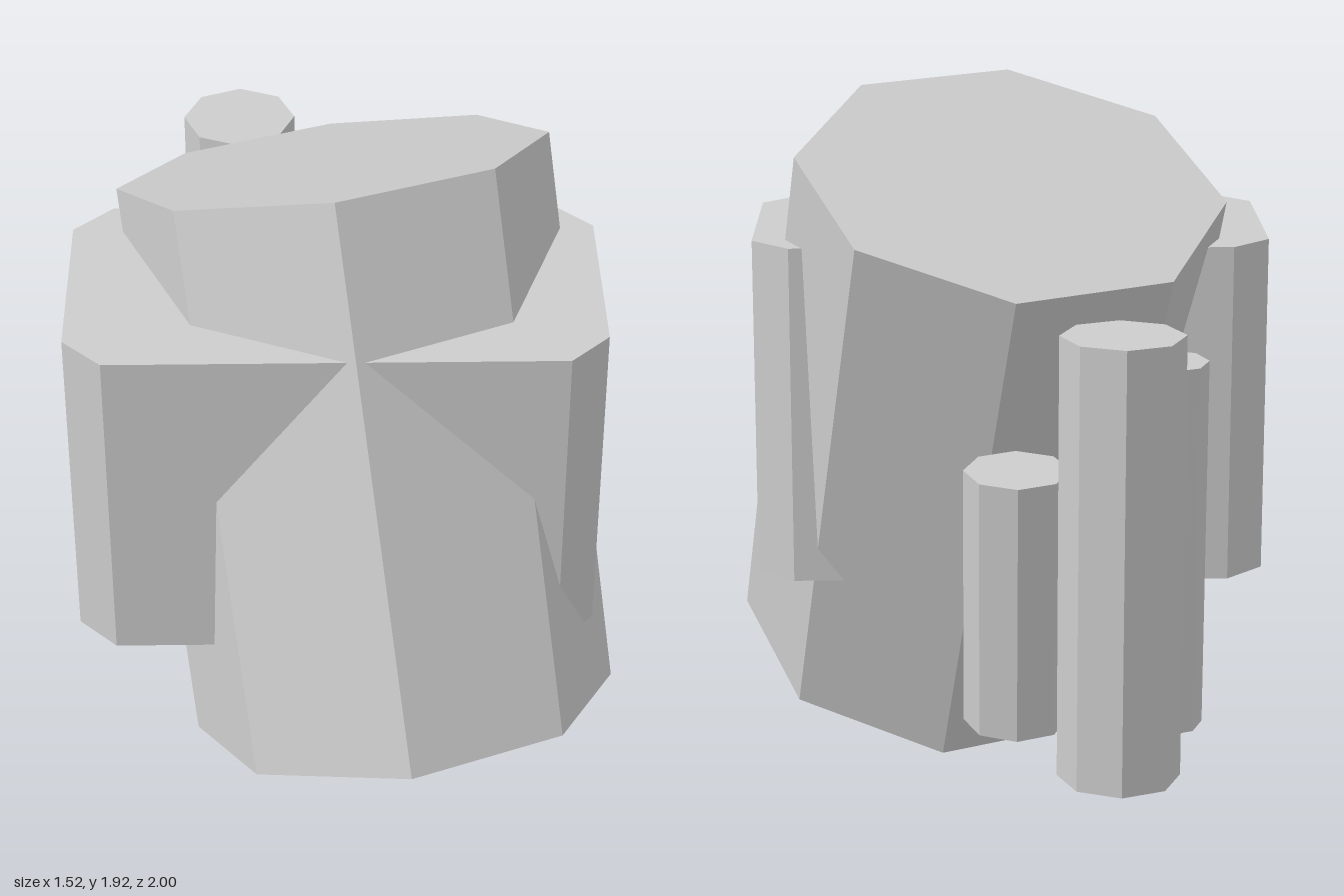
import * as THREE from 'three';

export function createModel() {
  const group = new THREE.Group();
  const grey = new THREE.MeshStandardMaterial({ color: 0xcccccc, flatShading: true });

  // Octagonal column between two end centres; side hints at the direction of its +z corner
  function column(name, bottom, top, radius, side = [0, 0, 1]) {
    const a = new THREE.Vector3(...bottom), b = new THREE.Vector3(...top);
    const yAxis = b.clone().sub(a);
    const height = yAxis.length();
    yAxis.normalize();
    const xAxis = new THREE.Vector3().crossVectors(yAxis, new THREE.Vector3(...side)).normalize();
    const zAxis = new THREE.Vector3().crossVectors(xAxis, yAxis);
    const mesh = new THREE.Mesh(new THREE.CylinderGeometry(radius, radius, height, 8), grey);
    mesh.name = name;
    mesh.quaternion.setFromRotationMatrix(new THREE.Matrix4().makeBasis(xAxis, yAxis, zAxis));
    mesh.position.copy(a).add(b).multiplyScalar(0.5);
    group.add(mesh);
  }

  // Large leaning column
  column('mainColumn', [0.16, 0.222, 0.438], [-0.038, 1.702, -0.14], 0.603, [0, 0.2175, 0.56]);

  // Upright block with chamfered vertical edges
  const [x0, x1, z0, z1, c] = [-0.76, 0.687, -0.187, 0.568, 0.107];
  const outline = new THREE.Shape([
    [x0 + c, -z1], [x1 - c, -z1], [x1, -z1 + c], [x1, -z0 - c],
    [x1 - c, -z0], [x0 + c, -z0], [x0, -z0 - c], [x0, -z1 + c],
  ].map(([x, y]) => new THREE.Vector2(x, y)));
  const blockGeometry = new THREE.ExtrudeGeometry(outline, { depth: 0.965, bevelEnabled: false });
  blockGeometry.rotateX(-Math.PI / 2);
  const block = new THREE.Mesh(blockGeometry, grey);
  block.name = 'chamferedBlock';
  block.position.y = 0.555;
  group.add(block);

  // Slim columns behind
  column('tallRearColumn', [-0.31, 0.222, -0.834], [-0.31, 1.43, -0.834], 0.165);
  column('middleRearColumn', [-0.04, 0.312, -0.65], [-0.04, 1.035, -0.712], 0.142);
  column('thinRearColumn', [-0.46, 0.222, -0.441], [-0.46, 1.27, -0.475], 0.105);

  return group;
}
